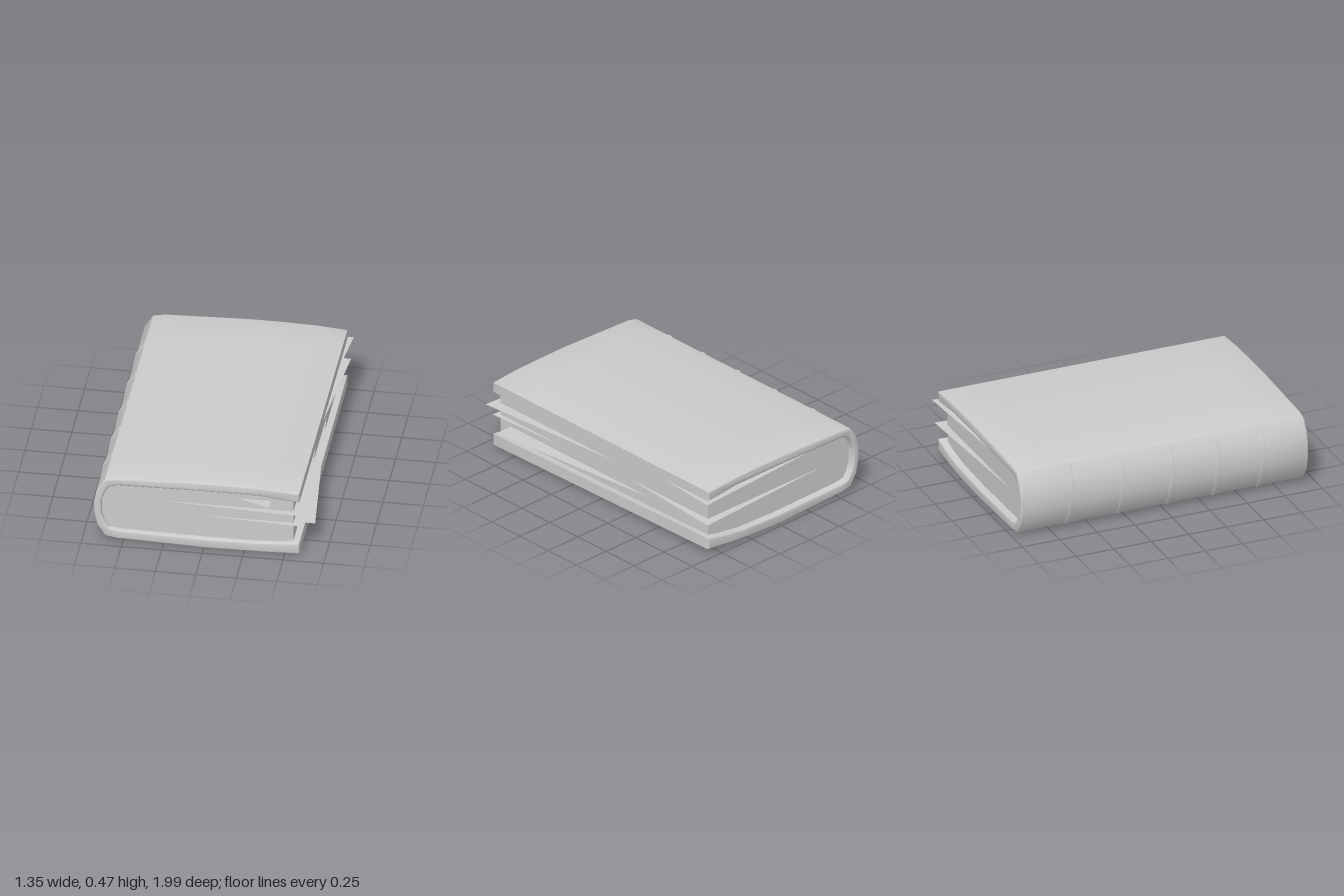
import * as THREE from 'three';
import { toCreasedNormals } from 'three/addons/utils/BufferGeometryUtils.js';

const BACK = -0.975, FRONT = 0.94;
const grey = new THREE.MeshStandardMaterial({ color: 0xcccccc });
const thin = new THREE.MeshStandardMaterial({ color: 0xcccccc, side: THREE.DoubleSide });

// Cover cross-section from the upper fore-edge, round the spine, to the lower fore-edge
const outer = [
  [0.59, 0.447], [0.4, 0.462], [0.2, 0.467], [0, 0.468], [-0.25, 0.46], [-0.54, 0.45],
  [-0.61, 0.435], [-0.66, 0.36], [-0.678, 0.275], [-0.678, 0.195], [-0.66, 0.11], [-0.61, 0.032],
  [-0.54, 0.019], [-0.25, 0.009], [0, 0.002], [0.2, 0.004], [0.4, 0.008], [0.59, 0.015],
];
const inner = [
  [0.59, 0.383], [0.47, 0.393], [0.35, 0.407], [0, 0.408], [-0.53, 0.4],
  [-0.585, 0.385], [-0.615, 0.335], [-0.632, 0.28], [-0.632, 0.19], [-0.615, 0.135], [-0.585, 0.088],
  [-0.53, 0.077], [0, 0.068], [0.3, 0.069], [0.45, 0.078], [0.59, 0.09],
];

// Closed cross-section pulled along z, with an optional softened rim
function slab(points, z0, z1, bevel = 0) {
  const shape = new THREE.Shape(points.map(([x, y]) => new THREE.Vector2(x, y)));
  const geometry = new THREE.ExtrudeGeometry(shape, {
    depth: z1 - z0 - 2 * bevel,
    steps: 8,
    bevelEnabled: bevel > 0,
    bevelSize: bevel,
    bevelThickness: bevel,
    bevelOffset: -bevel,
    bevelSegments: 3,
  });
  return geometry.translate(0, 0, z0 + bevel);
}

// Bends the lower fore-edge upward toward the back corner
function bendLowerCorner(geometry) {
  const p = geometry.attributes.position;
  for (let i = 0; i < p.count; i++) {
    const x = p.getX(i), y = p.getY(i);
    if (x < 0.1 || y > 0.2) continue;
    const along = (FRONT - p.getZ(i)) / (FRONT - BACK);
    p.setY(i, y + 0.034 * along * Math.pow((x - 0.1) / 0.49, 1.5));
  }
  return geometry;
}

function add(group, name, geometry, material = grey) {
  const mesh = new THREE.Mesh(geometry, material);
  mesh.name = name;
  group.add(mesh);
}

// Flat loose page corner: three [x, z] points at height y
function looseSheet(y, corners) {
  const geometry = new THREE.BufferGeometry();
  const points = corners.map(([x, z]) => new THREE.Vector3(x, y, z));
  geometry.setFromPoints(points);
  geometry.computeVertexNormals();
  return geometry;
}

export function createModel() {
  const book = new THREE.Group();
  book.name = 'book';

  // Wraparound cover
  const coverOutline = [...outer, ...inner.slice().reverse()];
  const cover = bendLowerCorner(slab(coverOutline, BACK, FRONT, 0.01));
  add(book, 'cover', toCreasedNormals(cover, 0.7));

  // Page block, set in from the cover on three sides
  const pageOutline = inner.map(([x, y]) => [Math.min(x, 0.55), y]);
  const pages = bendLowerCorner(slab(pageOutline, -0.93, 0.91));
  add(book, 'pageBlock', toCreasedNormals(pages, 0.6));

  // Raised bands across the spine
  const spine = outer.slice(6, 12);
  const band = [
    ...spine.map(([x, y]) => [x - 0.005, y + (y - 0.235) * 0.012]),
    ...spine.map(([x, y]) => [x + 0.02, y]).reverse(),
  ];
  for (const z of [-0.64, -0.3, 0.03, 0.335, 0.635]) {
    add(book, 'spineBand', toCreasedNormals(slab(band, z - 0.016, z + 0.016, 0.003), 0.6));
  }

  // Loose sheets slipping out of the block
  const sheets = [
    [0.3, [[-0.37, 0.905], [0.63, 0.96], [0.54, -0.25]]],
    [0.17, [[0.54, 0.82], [0.67, 0.82], [0.54, -0.5]]],
    [0.218, [[-0.14, 0.905], [0.585, 0.945], [0.54, 0.2]]],
    [0.362, [[0.2, 0.905], [0.41, 0.99], [0.41, 0.905]]],
    [0.38, [[-0.5, -0.925], [0.54, -0.1], [0.625, -1.0]]],
    [0.23, [[-0.5, -0.925], [0.54, -0.1], [0.61, -0.99]]],
  ];
  for (const [y, corners] of sheets) add(book, 'looseSheet', looseSheet(y, corners), thin);

  return book;
}
